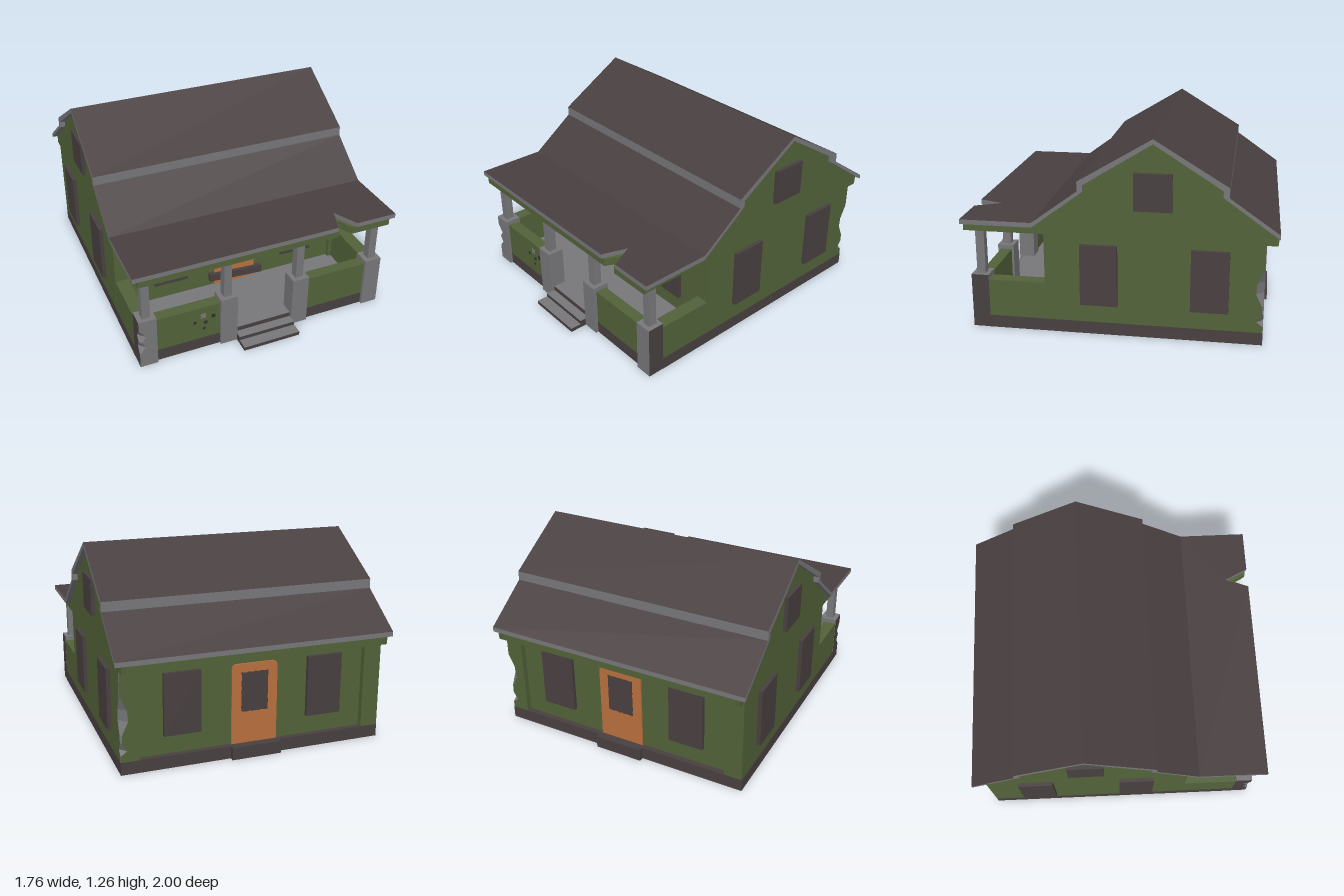
import * as THREE from 'three';

const mat = (name, color, side = THREE.FrontSide) => {
  const m = new THREE.MeshStandardMaterial({ color, side });
  m.name = name;
  return m;
};

export function createModel() {
  const house = new THREE.Group();
  house.name = 'house';
  const brown = mat('darkBrown', 0x483f40);
  const green = mat('mossGreen', 0x526239);
  const grey = mat('stoneGrey', 0x77777a);
  const orange = mat('rustOrange', 0xb96f3d);
  const dark = mat('holeDark', 0x2f3327);

  const add = (name, geo, material) => {
    const m = new THREE.Mesh(geo, material);
    m.name = name;
    house.add(m);
    return m;
  };
  const boxGeo = (x0, x1, y0, y1, z0, z1) =>
    new THREE.BoxGeometry(x1 - x0, y1 - y0, z1 - z0)
      .translate((x0 + x1) / 2, (y0 + y1) / 2, (z0 + z1) / 2);
  const box = (name, material, ...b) => add(name, boxGeo(...b), material);
  const shapeOf = (pts) => new THREE.Shape(pts.map((p) => new THREE.Vector2(...p)));
  const extrude = (shape, depth) =>
    new THREE.ExtrudeGeometry(shape, { depth, bevelEnabled: false, curveSegments: 6 });
  // (z, y) outline extruded along x, centred on x
  const profile = (pts, width, x = 0) =>
    extrude(shapeOf(pts), width).translate(0, 0, -width / 2).rotateY(-Math.PI / 2).translate(x, 0, 0);
  // (x, z) outline extruded down from top
  const slab = (pts, top, depth) =>
    extrude(shapeOf(pts), depth).rotateX(Math.PI / 2).translate(0, top, 0);

  // Sorts triangles into two material groups by their face normal
  function paint(src, second) {
    const geo = src.index ? src.toNonIndexed() : src;
    const p = geo.attributes.position;
    const lists = [[], []];
    const t = new THREE.Triangle();
    const n = new THREE.Vector3();
    for (let i = 0; i < p.count; i += 3) {
      t.setFromAttributeAndIndices(p, i, i + 1, i + 2).getNormal(n);
      lists[second(n) ? 1 : 0].push(i, i + 1, i + 2);
    }
    geo.setIndex([...lists[0], ...lists[1]]);
    geo.clearGroups();
    geo.addGroup(0, lists[0].length, 0);
    geo.addGroup(lists[0].length, lists[1].length, 1);
    return geo;
  }

  // Column with one vertical edge broken away: levels are [y, cut]
  function chippedColumn(x, X, z, Z, levels) {
    const sx = Math.sign(X - x), sz = Math.sign(Z - z);
    const rings = levels.map(([y, c]) => [
      [x, y, z], [X, y, z], [X, y, Z - sz * c], [X - sx * c, y, Z], [x, y, Z]]);
    const pos = [];
    const tri = (a, b, c) => pos.push(...(sx * sz > 0 ? [a, b, c] : [a, c, b]).flat());
    for (let k = 0; k < rings.length - 1; k++) {
      for (let i = 0; i < 5; i++) {
        const j = (i + 1) % 5, lo = rings[k], hi = rings[k + 1];
        tri(lo[i], hi[i], hi[j]);
        tri(lo[i], hi[j], lo[j]);
      }
    }
    const top = rings[rings.length - 1], bottom = rings[0];
    for (let i = 1; i < 4; i++) {
      tri(top[0], top[i + 1], top[i]);
      tri(bottom[0], bottom[i], bottom[i + 1]);
    }
    const geo = new THREE.BufferGeometry();
    geo.setAttribute('position', new THREE.Float32BufferAttribute(pos, 3));
    geo.computeVertexNormals();
    return geo;
  }

  // Roof: stepped main roof and flat porch roof with a broken notch
  const notUp = (n) => n.y < 0.3;
  add('mainRoof', paint(profile([
    [0.48, 0.72], [0.195, 0.93], [0.195, 0.99], [-0.255, 1.26], [-0.7, 0.99], [-0.7, 0.93],
    [-1, 0.72], [-1, 0.69], [-0.665, 0.93], [-0.665, 0.97], [-0.255, 1.23], [0.16, 0.97],
    [0.16, 0.93], [0.48, 0.69]], 1.76), notUp), [brown, grey]);
  add('porchRoof', paint(slab([
    [-0.88, 0.48], [0.88, 0.48], [0.88, 0.93], [0.6, 0.93], [0.52, 0.77], [0.465, 0.93],
    [-0.88, 0.93]], 0.72, 0.03), notUp), [brown, grey]);
  add('ceilingSlab', slab([
    [-0.845, -0.99], [0.845, -0.99], [0.845, 0.92], [0.575, 0.92], [0.55, 0.88], [0.525, 0.82],
    [0.5, 0.88], [0.48, 0.92], [-0.845, 0.92]], 0.69, 0.05), green);

  // Side walls with gables, windows and skirting
  for (const s of [-1, 1]) {
    add('sideWall', profile([
      [0.415, 0.08], [0.415, 0.69], [0.48, 0.692], [0.162, 0.932], [0.162, 0.972], [-0.255, 1.232],
      [-0.667, 0.972], [-0.667, 0.932], [-0.995, 0.692], [-0.99, 0.64], [-0.87, 0.64],
      [-0.87, 0.08]], 0.03, s * 0.83), green);
    add('sideSkirting', profile([[0.78, 0], [0.78, 0.08], [-0.925, 0.08], [-0.925, 0]], 0.03, s * 0.831), brown);
    for (const [z, y0, y1] of [[0.075, 0.2, 0.59], [-0.6, 0.2, 0.59], [-0.253, 0.82, 1.05]]) {
      const x = s * 0.855;
      box('sideWindow', brown, x - 0.015, x + 0.015, y0, y1, z - 0.115, z + 0.115);
    }
  }

  // Front and back walls with corner posts
  box('frontWall', green, -0.82, 0.82, 0.06, 0.64, 0.36, 0.39);
  box('backWall', green, -0.82, 0.82, 0.06, 0.64, -0.89, -0.86);
  box('backSkirting', brown, -0.845, 0.845, 0, 0.08, -0.925, -0.86);
  box('frontSkirting', brown, -0.82, 0.82, 0, 0.06, 0.36, 0.39);
  for (const s of [-1, 1]) {
    const c = s * 0.787;
    box('frontCornerPost', green, c - 0.056, c + 0.056, 0.08, 0.64, 0.34, 0.414);
    for (const [z, name] of [[0.4, 'frontWindow'], [-0.9, 'backWindow']]) {
      box(name, brown, s * 0.462 - 0.115, s * 0.462 + 0.115, 0.2, 0.59, z - 0.015, z + 0.015);
    }
  }
  box('backCornerPost', green, -0.845, -0.73, 0.08, 0.64, -0.925, -0.86);
  const diagonal = (n) => Math.abs(n.x) > 0.2 && Math.abs(n.z) > 0.2;
  add('brokenCornerPost', paint(chippedColumn(0.73, 0.845, -0.86, -0.925, [
    [0.08, 0.002], [0.12, 0.002], [0.15, 0.04], [0.2, 0.008], [0.25, 0.012], [0.33, 0.05],
    [0.4, 0.045], [0.49, 0.002], [0.64, 0.002]]), diagonal), [green, grey]);

  // Doors with ragged broken panes
  const doorShape = new THREE.Shape();
  doorShape.moveTo(-0.148, 0.08);
  doorShape.lineTo(0.148, 0.08);
  doorShape.lineTo(0.148, 0.555);
  doorShape.quadraticCurveTo(0.148, 0.59, 0.113, 0.59);
  doorShape.lineTo(-0.113, 0.59);
  doorShape.quadraticCurveTo(-0.148, 0.59, -0.148, 0.555);
  const pane = [];
  for (let i = 0; i < 48; i++) {
    const a = (i / 48) * Math.PI * 2, c = Math.cos(a), s = Math.sin(a);
    const k = 1 / Math.max(Math.abs(c), Math.abs(s));
    const rag = 1 - 0.05 * Math.abs(Math.sin(i * 7.3));
    const x = Math.max(-0.94, Math.min(0.94, c * k)), y = Math.max(-0.96, Math.min(0.96, s * k));
    pane.push([x * 0.094 * rag, 0.41 + y * 0.135 * rag]);
  }
  for (const [name, z] of [['frontDoor', 0.375], ['backDoor', -0.875]]) {
    add(name, extrude(doorShape, 0.05).translate(0, 0, z - 0.025), orange);
    add(name + 'Pane', extrude(shapeOf(pane), 0.058).translate(0, 0, z - 0.029), brown);
  }
  box('doorHandle', brown, 0.132, 0.139, 0.31, 0.36, 0.4, 0.408);
  box('backDoorStep', brown, -0.16, 0.16, 0, 0.08, -0.955, -0.9);

  // Boards nailed across the front door
  for (const [y, tilt, h] of [[0.367, 0.14, 0.052], [0.145, -0.065, 0.052]]) {
    const b = add('doorBoard', new THREE.BoxGeometry(0.385, h, 0.08), brown);
    b.position.set(0.005, y, 0.385);
    b.rotation.z = tilt;
  }

  // Porch floor, parapets and skirting
  box('porchFloor', grey, -0.82, 0.82, 0.055, 0.08, 0.385, 0.86);
  box('porchRiser', brown, -0.2, 0.2, 0, 0.078, 0.84, 0.863);
  for (const s of [-1, 1]) {
    const sx = s * 0.8, fx = s * 0.52;
    box('sideParapet', green, sx - 0.043, sx + 0.043, 0.08, 0.32, 0.414, 0.79);
    box('frontParapet', green, fx - 0.22, fx + 0.22, 0.08, 0.32, 0.79, 0.865);
    box('frontParapetSkirting', brown, fx - 0.22, fx + 0.22, 0, 0.08, 0.79, 0.866);
  }

  // Bullet holes in the parapet
  for (const [x, y, d] of [[-0.42, 0.255, 0.034], [-0.475, 0.215, 0.019], [-0.352, 0.236, 0.024],
    [-0.405, 0.2, 0.022], [-0.415, 0.155, 0.016]]) {
    box('bulletHole', d > 0.03 ? grey : dark, x - d / 2, x + d / 2, y - d / 2, y + d / 2, 0.862, 0.868);
  }

  // Porch pillars: stone bases and slim posts
  for (const x of [-0.787, -0.25, 0.25, 0.787]) {
    const outer = (n) => Math.abs(x) > 0.5 && n.x * Math.sign(x) > 0.9;
    const geo = x < -0.5
      ? chippedColumn(-0.73, -0.845, 0.775, 0.885, [[0, 0.002], [0.1, 0.002], [0.15, 0.04],
        [0.19, 0.015], [0.23, 0.045], [0.285, 0.002], [0.35, 0.002]])
      : boxGeo(x - 0.057, x + 0.057, 0, 0.35, 0.775, 0.885);
    add('pillarBase', paint(geo, outer), [grey, brown]);
    box('pillarPost', grey, x - 0.026, x + 0.026, 0.35, 0.64, 0.802, 0.857);
  }

  // Front steps: stone treads on brown risers
  for (const [y, z] of [[0.025, 1], [0.05, 0.925]]) {
    add('frontStep', paint(boxGeo(-0.195, 0.195, 0, y, 0.85, z), (n) => n.y > 0.5), [brown, grey]);
  }
  return house;
}
